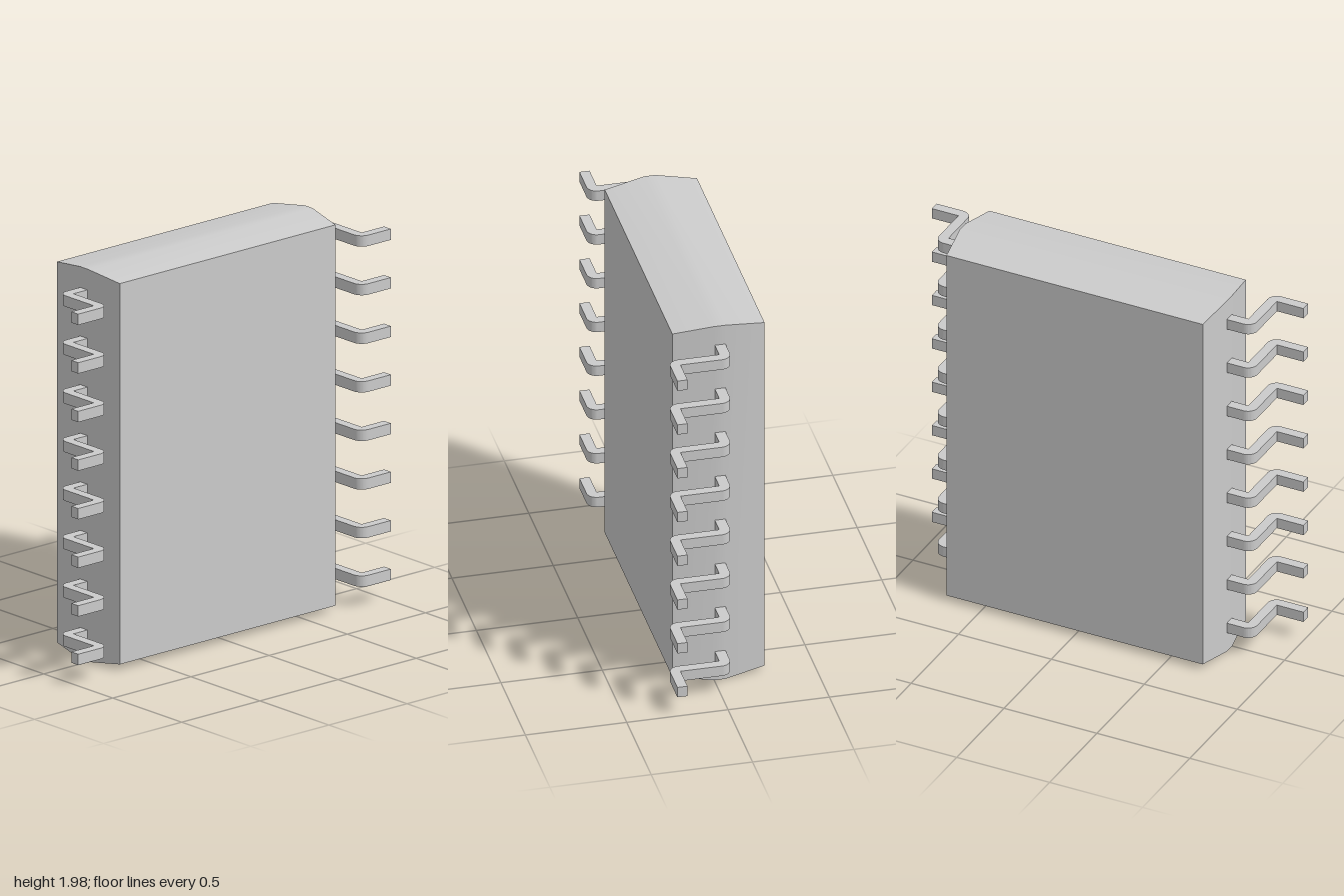
import * as THREE from 'three';
import { toCreasedNormals } from 'three/addons/utils/BufferGeometryUtils.js';

const CENTER_Y = 0.99;
const LEAD_COUNT = 8;
const LEAD_PITCH = 0.245;
const LEAD_WIDTH = 0.055;

// Bevelled block: narrow at both faces, with a flat band around the waist.
function bodyGeometry() {
  const sections = [ // z, half width, half height
    [-0.255, 0.69, 0.96],
    [-0.055, 0.718, 0.99],
    [0, 0.718, 0.99],
    [0.2, 0.69, 0.96],
  ];
  const geometry = new THREE.BoxGeometry(2, 2, 3, 1, 1, 3);
  const p = geometry.attributes.position;
  for (let i = 0; i < p.count; i++) {
    const [z, w, h] = sections[Math.round(p.getZ(i) + 1.5)];
    p.setXYZ(i, Math.sign(p.getX(i)) * w, CENTER_Y + Math.sign(p.getY(i)) * h, z);
  }
  return toCreasedNormals(geometry, 0.4);
}

// Gull-wing lead outline, drawn in x and -z, with rounded outer bends.
function leadGeometry(side) {
  const r = 0.05;
  const outline = new THREE.Shape();
  outline.moveTo(0.69, 0.055);
  outline.lineTo(0.857 - r, 0.055);
  outline.absarc(0.857 - r, 0.055 - r, r, Math.PI / 2, 0, true);
  outline.lineTo(0.857, -0.2);
  outline.lineTo(1, -0.2);
  outline.lineTo(1, -0.25);
  outline.lineTo(0.807 + r, -0.25);
  outline.absarc(0.807 + r, -0.25 + r, r, -Math.PI / 2, -Math.PI, true);
  outline.lineTo(0.807, 0.003);
  outline.lineTo(0.69, 0.003);
  const points = outline.getPoints(8).map((v) => new THREE.Vector2(v.x * side, v.y));
  const geometry = new THREE.ExtrudeGeometry(new THREE.Shape(points), {
    depth: LEAD_WIDTH,
    bevelEnabled: false,
  });
  geometry.translate(0, 0, -LEAD_WIDTH / 2);
  geometry.rotateX(-Math.PI / 2);
  return toCreasedNormals(geometry, 0.5);
}

export function createModel() {
  const model = new THREE.Group();
  model.name = 'chipPackage';
  const material = new THREE.MeshStandardMaterial({ color: 0xcccccc });

  const body = new THREE.Mesh(bodyGeometry(), material);
  body.name = 'body';
  model.add(body);

  // A row of leads along each long side
  for (const [side, name] of [[1, 'left'], [-1, 'right']]) {
    const row = new THREE.Group();
    row.name = `${name}Leads`;
    const geometry = leadGeometry(side);
    for (let i = 0; i < LEAD_COUNT; i++) {
      const lead = new THREE.Mesh(geometry, material);
      lead.name = `${name}Lead${i + 1}`;
      lead.position.y = CENTER_Y + (i - (LEAD_COUNT - 1) / 2) * LEAD_PITCH;
      row.add(lead);
    }
    model.add(row);
  }
  return model;
}
